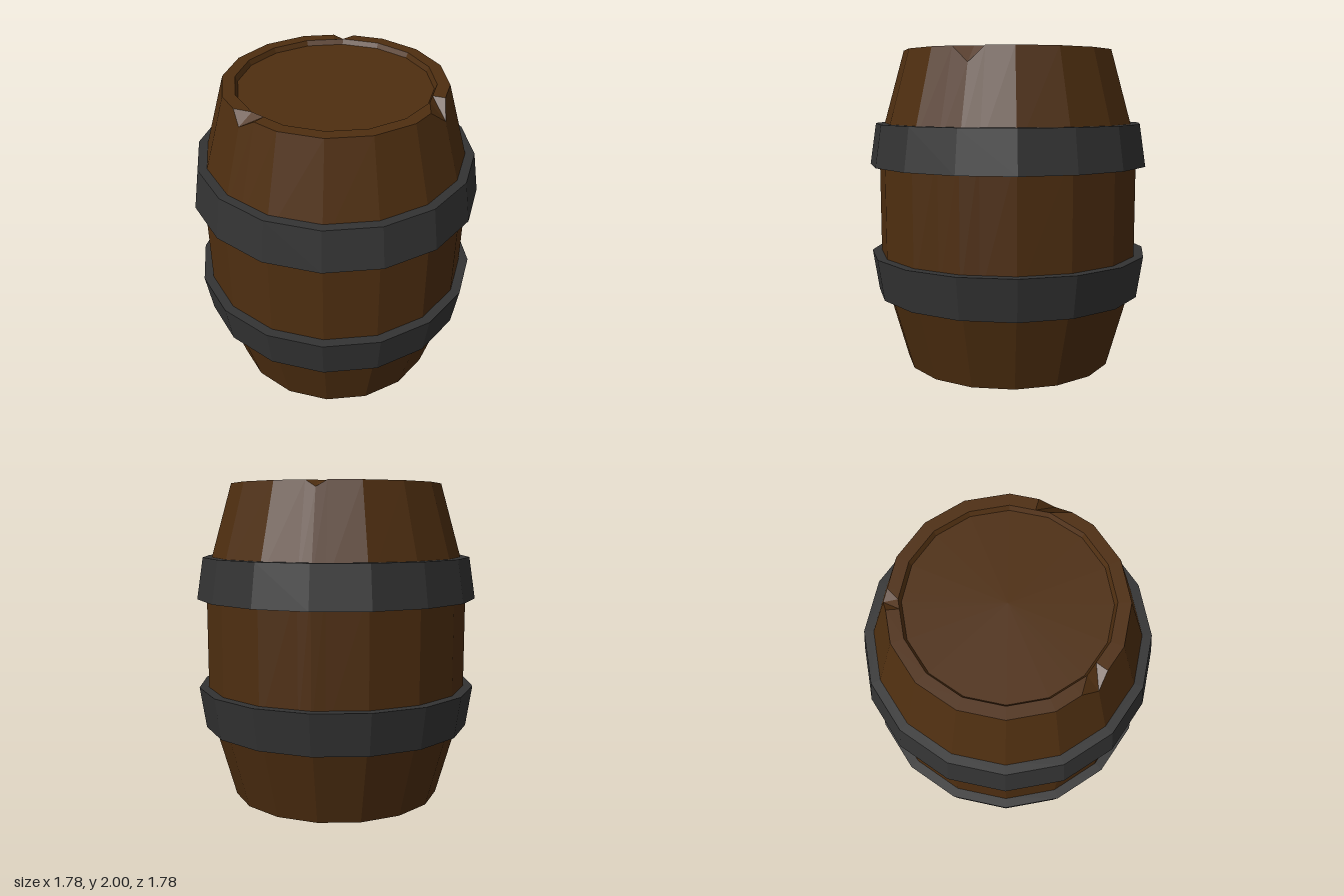
import * as THREE from 'three';

const SIDES = 16;

// Unit ring point; fractional steps lie on the straight edge between two corners.
function ringPoint(step) {
  const corner = (k) => new THREE.Vector2(
    Math.sin((k * 2 * Math.PI) / SIDES), Math.cos((k * 2 * Math.PI) / SIDES));
  const k = Math.floor(step);
  return corner(k).lerp(corner(k + 1), step - k);
}

// Chips broken out of the top rim: corner index, depth, reach to either side.
const CHIPS = [
  { corner: 1, drop: 0.095, before: 0.45, after: 0.35 },
  { corner: 6, drop: 0.04, before: 0.25, after: 0.25 },
  { corner: 12, drop: 0.06, before: 0.38, after: 0.38 },
];

// Barrel profile from bottom centre to top centre; a chip lowers the outer rim along the wall.
function profile(drop) {
  const slope = 0.165 / 0.585;
  return [
    [0, 0.03], [0.575, 0.03], [0.59, 0], [0.665, 0],
    [0.83, 0.585], [0.83, 1.415],
    [0.665 + slope * drop, 2 - drop], [0.59, 2], [0.575, 1.97], [0, 1.97],
  ];
}

function barrelGeometry() {
  // Columns around the barrel, three of them at each chip
  const columns = [];
  for (let k = 0; k < SIDES; k++) {
    const chip = CHIPS.find((c) => c.corner === k);
    if (chip) columns.push([k - chip.before, 0], [k, chip.drop], [k + chip.after, 0]);
    else columns.push([k, 0]);
  }
  const levels = profile(0).length;
  const positions = [];
  const index = [];
  for (const [step, drop] of columns) {
    const p = ringPoint(step);
    for (const [r, y] of profile(drop)) positions.push(p.x * r, y, p.y * r);
  }
  for (let i = 0; i < columns.length; i++) {
    const next = (i + 1) % columns.length;
    for (let j = 0; j < levels - 1; j++) {
      const a = i * levels + j;
      const b = next * levels + j;
      if (j > 0) index.push(a, b, b + 1);
      if (j < levels - 2) index.push(a, b + 1, a + 1);
      if (j === 0) index.push(a, b + 1, a + 1);
    }
  }
  const geometry = new THREE.BufferGeometry();
  geometry.setAttribute('position', new THREE.Float32BufferAttribute(positions, 3));
  geometry.setIndex(index);
  geometry.computeVertexNormals();
  return geometry;
}

// Tapered iron hoop, wider towards the belly
function hoopGeometry(outerY, bellyY) {
  const points = [[0.78, outerY], [0.85, outerY], [0.89, bellyY], [0.82, bellyY]]
    .map(([r, y]) => new THREE.Vector2(r, y));
  if (outerY > bellyY) points.reverse();
  return new THREE.LatheGeometry(points, SIDES);
}

export function createModel() {
  const wood = new THREE.MeshStandardMaterial({ color: 0x4e2e10, flatShading: true });
  const iron = new THREE.MeshStandardMaterial({ color: 0x333333, flatShading: true });
  const group = new THREE.Group();
  group.name = 'barrel';
  const add = (name, geometry, material) => {
    const mesh = new THREE.Mesh(geometry, material);
    mesh.name = name;
    group.add(mesh);
  };
  add('woodenBody', barrelGeometry(), wood);
  add('lowerHoop', hoopGeometry(0.46, 0.72), iron);
  add('upperHoop', hoopGeometry(1.545, 1.285), iron);
  return group;
}
